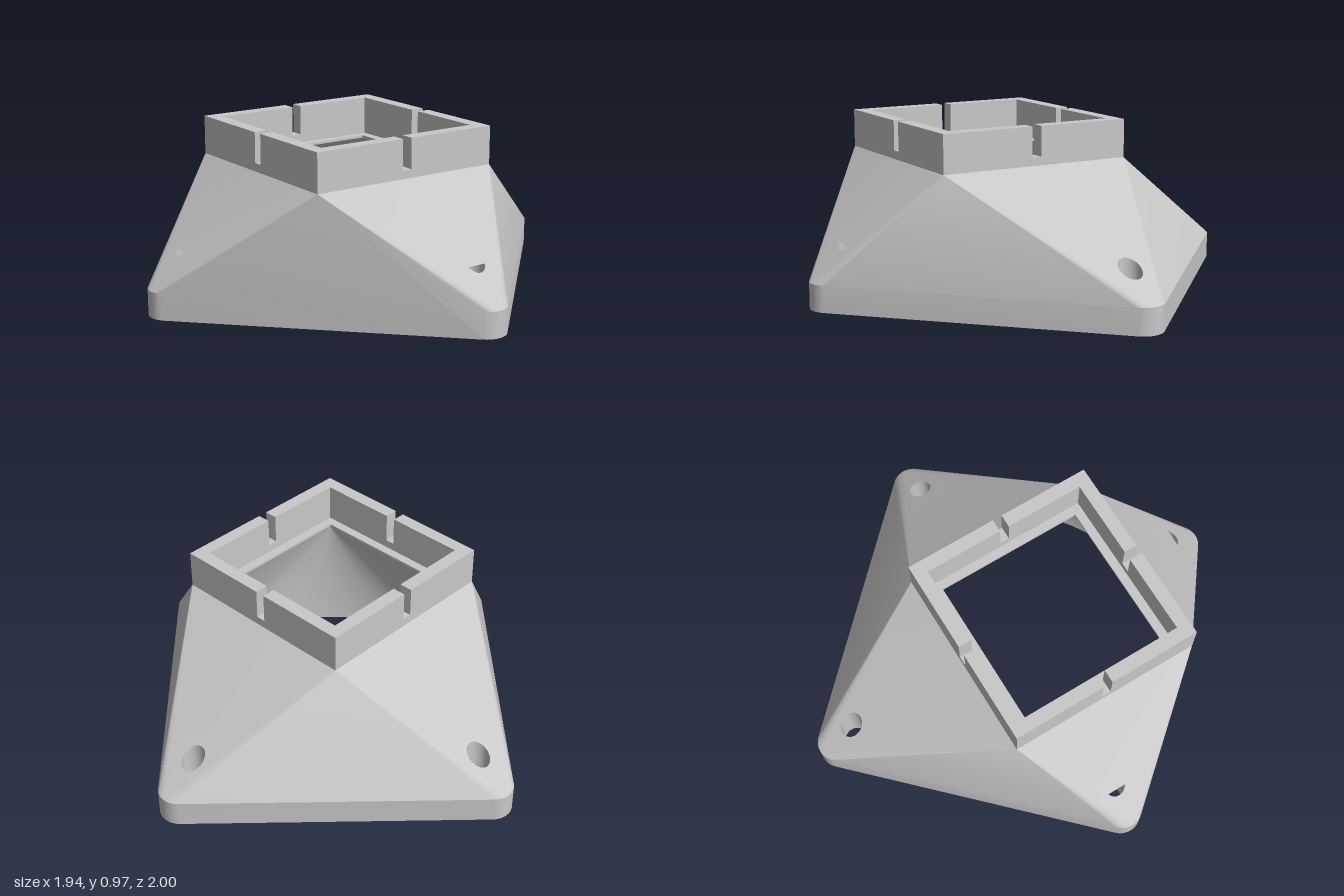
import * as THREE from 'three';
import { mergeGeometries, toCreasedNormals } from 'three/addons/utils/BufferGeometryUtils.js';

const HALF = 0.971, ROUND = 0.12, BASE_Z = -0.03;   // base plate
const RIM_Y = 0.15, LIP_Y = 0.738, DECK_Y = 0.752, TOP_Y = 0.97; // heights
const COLLAR_Z = 0.19;                              // collar centre
const MOUTH_R = 0.9, MOUTH_Y = 0.145;               // round recess underneath
const HOLE_R = 0.066, HOLE_OFF = 0.775, HOLE_TOP = 0.345;
const V = (x, y, z) => new THREE.Vector3(x, y, z);

// points on a horizontal arc
function arc(cx, cz, r, from, to, n) {
  return Array.from({ length: n + 1 }, (_, i) => {
    const t = from + (to - from) * i / n;
    return V(cx + r * Math.cos(t), 0, cz + r * Math.sin(t));
  });
}

// non-indexed geometry from a list of triangle corners
function tris(points) {
  return new THREE.BufferGeometry().setFromPoints(points);
}

// all edges of a path joined to one apex
function fan(path, apex, inward) {
  const out = [];
  for (let i = 0; i + 1 < path.length; i++) {
    const [p, q] = [path[i], path[i + 1]];
    out.push(...(inward ? [p, q, apex] : [p, apex, q]));
  }
  return out;
}

// vertical wall above a path, its height given by a rule
function wall(path, height, inward) {
  const out = [], up = p => V(p.x, height(p.x, p.z), p.z);
  for (let i = 0; i + 1 < path.length; i++) {
    const [p, q] = [path[i], path[i + 1]];
    const quad = [p, up(p), q, q, up(p), up(q)];
    out.push(...(inward ? quad.reverse() : quad));
  }
  return out;
}

// sheet with holes, laid over the xz plane at a height given by a rule
function sheet(outline, holes, height, faceUp) {
  const flat = pts => pts.map(p => new THREE.Vector2(p.x, p.z));
  const shape = new THREE.Shape(flat(outline));
  holes.forEach(h => shape.holes.push(new THREE.Path(flat(h))));
  const pos = new THREE.ShapeGeometry(shape).toNonIndexed().attributes.position;
  const out = [];
  for (let i = 0; i < pos.count; i++) {
    out.push(V(pos.getX(i), height(pos.getX(i), pos.getY(i)), pos.getY(i)));
  }
  return tris(faceUp ? out.reverse() : out);
}

// four corners of a diamond around the collar axis
function diamond(r, y) {
  return [V(r, y, COLLAR_Z), V(0, y, COLLAR_Z + r), V(-r, y, COLLAR_Z), V(0, y, COLLAR_Z - r)];
}

export function createModel() {
  const group = new THREE.Group();
  const grey = new THREE.MeshStandardMaterial({ color: 0xc8c8c8, side: THREE.DoubleSide });
  grey.name = 'grey plastic';
  const add = (name, geometry, crease = 0.3) => {
    const mesh = new THREE.Mesh(toCreasedNormals(geometry, crease), grey);
    mesh.name = name;
    group.add(mesh);
    return mesh;
  };

  const N = 16, Q = Math.PI / 2;
  const signs = [[1, 1], [-1, 1], [-1, -1], [1, -1]];
  const deck = diamond(0.81, DECK_Y), opening = diamond(0.625, LIP_Y);
  const c = HALF - ROUND;
  const corners = signs.map(([sx, sz], k) =>
    arc(sx * c, BASE_Z + sz * c, ROUND, k * Q, (k + 1) * Q, N));
  const loop = corners.flat();
  const lift = p => V(p.x, RIM_Y, p.z);

  // upright rim on three sides; the front leans out straight from the ground
  const rim = [...corners[1].slice(1), ...corners[2], ...corners[3], ...corners[0].slice(0, N)];
  const shell = [tris(wall(rim, () => RIM_Y))];
  const cavity = [], screwWalls = [], screwCaps = [], screwCircles = [];

  signs.forEach(([sx, sz], k) => {
    const n = (k + 1) % 4;

    // sloping side with the rounded halves of its two corners
    const start = corners[k].slice(N / 2, N).map(lift);
    const end = corners[n].slice(1, N / 2 + 1).map(lift);
    const foot = [corners[k][N], corners[n][0]];
    const middle = k === 0 ? [corners[k][N - 1], ...foot, corners[n][1]] : foot.map(lift);
    shell.push(tris(fan([...start, ...middle, ...end], deck[n])));

    // flat corner slope, pierced by the screw hole
    const A = lift(corners[k][N / 2]);
    const uA = sx * A.x + sz * A.z, uT = sx * deck[k].x + sz * deck[k].z;
    const slope = (x, z) => RIM_Y + (DECK_Y - RIM_Y) * (uA - sx * x - sz * z) / (uA - uT);
    const hx = sx * HOLE_OFF, hz = BASE_Z + sz * HOLE_OFF;
    const uCut = uA - (uA - uT) * (HOLE_TOP - RIM_Y) / (DECK_Y - RIM_Y);
    const d = (uCut - sx * hx - sz * hz) / Math.SQRT2;
    const through = sz < 0;
    const a = through ? Math.PI : Math.acos(d / HOLE_R);
    const mid = (k + 0.5) * Q;
    const open = arc(hx, hz, HOLE_R, mid - a, mid + a, 32);
    shell.push(sheet([A, deck[k], deck[n]], [through ? open.slice(0, -1) : open], slope, true));

    // screw hole, closed at its top where it stays inside the body
    screwWalls.push(tris(wall(open, slope, true)));
    if (!through) {
      const closed = arc(hx, hz, HOLE_R, mid + a, mid + 2 * Math.PI - a, 24);
      screwWalls.push(tris(wall(closed, () => HOLE_TOP, true)));
      screwCaps.push(sheet(closed, [], () => HOLE_TOP, false));
    }
    screwCircles.push(arc(hx, hz, HOLE_R, 0, 4 * Q, 32).slice(0, -1));

    // recess: short upright wall, then a funnel to the square opening
    const mouth = arc(0, BASE_Z, MOUTH_R, mid, mid + Q, 24);
    const ring = mouth.map(p => V(p.x, MOUTH_Y, p.z));
    cavity.push(tris(wall(mouth, () => MOUTH_Y, true)));
    cavity.push(tris(fan(ring, opening[n], true)));
    cavity.push(tris([ring[0], opening[n], opening[k]]));
  });

  add('outerShell', mergeGeometries(shell));
  add('innerFunnel', mergeGeometries(cavity), 0.52);
  add('screwHoleWalls', mergeGeometries(screwWalls), 0.5);
  add('screwHoleCaps', mergeGeometries(screwCaps));

  // underside
  const mouth = arc(0, BASE_Z, MOUTH_R, 0, 4 * Q, 96).slice(0, -1);
  add('underside', sheet(loop, [mouth, ...screwCircles], () => 0, false));

  // ledge inside the collar, with its upright inner edge
  add('ledge', sheet(diamond(0.71, 0), [opening], () => DECK_Y, true));
  add('ledgeEdge', tris(wall([...opening, opening[0]], () => DECK_Y, true)));

  // square collar: four mitred walls, each with a slot
  const out = 0.573, inn = 0.495, s = 0.028, slotY = 0.8;
  const profile = new THREE.Shape([
    [-out, DECK_Y], [out, DECK_Y], [out, TOP_Y], [s, TOP_Y],
    [s, slotY], [-s, slotY], [-s, TOP_Y], [-out, TOP_Y],
  ].map(p => new THREE.Vector2(...p)));
  const wallGeo = new THREE.ExtrudeGeometry(profile, { depth: out - inn, bevelEnabled: false });
  wallGeo.translate(0, 0, inn);
  const pos = wallGeo.attributes.position;
  for (let i = 0; i < pos.count; i++) {
    const x = pos.getX(i);
    if (pos.getZ(i) < inn + 0.01 && Math.abs(x) > inn) pos.setX(i, Math.sign(x) * inn);
  }
  for (let k = 0; k < 4; k++) {
    const mesh = add('collarWall', wallGeo);
    mesh.rotation.y = (k + 0.5) * Q;
    mesh.position.z = COLLAR_Z;
  }
  return group;
}
